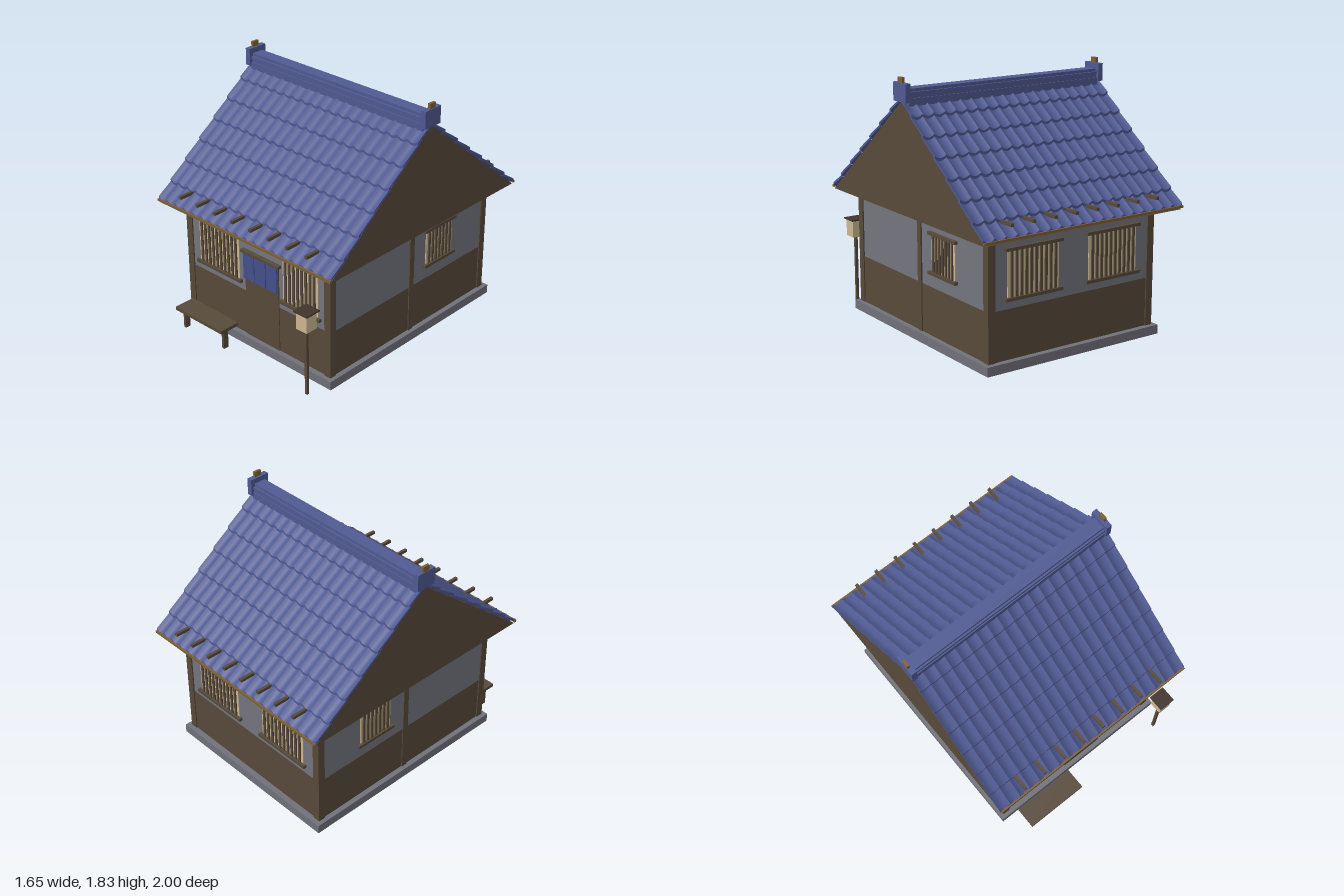
import * as THREE from 'three';
import { toCreasedNormals } from 'three/addons/utils/BufferGeometryUtils.js';

const mat = (name, color) => {
  const m = new THREE.MeshStandardMaterial({ color });
  m.name = name;
  return m;
};

const CZ = -0.04;          // z of the ridge line
const RIDGE_Y = 1.67, EAVE_Y = 0.9, RUN = 0.95, HALF_W = 0.82;
const slopeY = (dz) => RIDGE_Y - ((RIDGE_Y - EAVE_Y) * dz) / RUN;

// One course of wavy tiles from the upper to the lower distance off the ridge
function tileCourse(upper, lower) {
  const cols = 19, seg = 6, n = cols * seg, thick = 0.018;
  const pos = [];
  const quad = (a, b, c, d) => pos.push(...a, ...b, ...c, ...a, ...c, ...d);
  const section = (i) => {
    const x = -HALF_W + (2 * HALF_W * i) / n;
    const h = 0.018 * (1 - Math.sin((Math.PI * (i % seg)) / seg));
    const yL = slopeY(lower) + 0.025 + h, yU = slopeY(upper) + 0.004 + h;
    return {
      L: [x, yL, lower], U: [x, yU, upper],
      D: [x, yL - thick, lower], V: [x, yU - thick, upper],
    };
  };
  for (let i = 0; i < n; i++) {
    const a = section(i), b = section(i + 1);
    quad(a.L, b.L, b.U, a.U);
    quad(a.D, b.D, b.L, a.L);
    quad(a.D, a.V, b.V, b.D);
    if (i === 0) quad(a.L, a.U, a.V, a.D);
    if (i === n - 1) quad(b.D, b.V, b.U, b.L);
  }
  const g = new THREE.BufferGeometry();
  g.setAttribute('position', new THREE.Float32BufferAttribute(pos, 3));
  g.computeVertexNormals();
  return toCreasedNormals(g, 0.5);
}

export function createModel() {
  const model = new THREE.Group();
  model.name = 'house';
  const wood = mat('darkWood', 0x574a3a);
  const plaster = mat('greyPlaster', 0x74757f);
  const stone = mat('stone', 0x70717a);
  const tile = mat('blueTile', 0x505a92);
  const cloth = mat('blueCloth', 0x45508c);
  const paper = mat('paper', 0xcdb893);
  const gold = mat('paleTimber', 0x7d6035);
  const dark = mat('darkCap', 0x40352c);

  // Box given by its limits on each axis
  const box = (name, m, x0, x1, y0, y1, z0, z1, parent = model) => {
    const mesh = new THREE.Mesh(new THREE.BoxGeometry(x1 - x0, y1 - y0, z1 - z0), m);
    mesh.position.set((x0 + x1) / 2, (y0 + y1) / 2, (z0 + z1) / 2);
    mesh.name = name;
    parent.add(mesh);
    return mesh;
  };
  const group = (name, parent = model) => {
    const g = new THREE.Group();
    g.name = name;
    parent.add(g);
    return g;
  };

  // Foundation, wainscot and plaster
  box('foundation', stone, -0.72, 0.72, 0, 0.065, -0.89, 0.81);
  box('wainscot', wood, -0.682, 0.682, 0.065, 0.41, -0.847, 0.772);
  box('plasterWall', plaster, -0.68, 0.68, 0.41, 0.9, -0.845, 0.77);

  // Corner and side posts
  for (const s of [-1, 1]) {
    const x0 = s > 0 ? 0.635 : -0.69;
    box('cornerPost', wood, x0, x0 + 0.055, 0.065, 0.9, 0.725, 0.78);
    box('cornerPost', wood, x0, x0 + 0.055, 0.065, 0.9, -0.855, -0.8);
    box('sidePost', wood, x0, x0 + 0.055, 0.065, 0.9, -0.06, -0.016);
  }

  // Slatted window, built facing +z and then turned into place
  const slatWindow = (name, w, y0, y1, slats, x, z, turn) => {
    const g = group(name);
    const p = w / 2 - 0.025;
    box('windowPaper', paper, -p, p, y0 + 0.01, y1 - 0.01, 0, 0.006, g);
    for (let i = 0; i < slats; i++) {
      const sx = -p + (2 * p * (i + 0.75)) / (slats + 0.5);
      box('slat', wood, sx - 0.009, sx + 0.009, y0 + 0.01, y1 - 0.01, 0, 0.016, g);
    }
    for (const y of [y0, y1 - 0.022]) {
      box('windowRail', wood, -w / 2, w / 2, y, y + 0.022, 0, 0.025, g);
    }
    g.position.set(x, 0, z);
    g.rotation.y = turn;
  };
  slatWindow('frontWindow', 0.446, 0.465, 0.837, 10, -0.363, 0.77, 0);
  slatWindow('frontWindow', 0.37, 0.465, 0.837, 8, 0.415, 0.77, 0);
  for (const s of [-1, 1]) {
    slatWindow('backWindow', 0.46, 0.465, 0.82, 10, s * 0.33, -0.845, Math.PI);
    slatWindow('sideWindow', 0.33, 0.505, 0.803, 7, s * 0.68, -0.33, (s * Math.PI) / 2);
  }

  // Door with a split curtain hung from a rail
  box('door', wood, -0.107, 0.213, 0.065, 0.725, 0.76, 0.778);
  box('curtainRail', wood, -0.125, 0.235, 0.725, 0.745, 0.77, 0.802);
  for (let i = 0; i < 3; i++) {
    const x = -0.107 + i * 0.109;
    box('curtainPanel', cloth, x, x + 0.102, 0.525, 0.727, 0.787, 0.795);
  }

  // Gabled roof body
  const roof = group('roof');
  roof.position.z = CZ;
  const gable = new THREE.Shape([
    new THREE.Vector2(-RUN, EAVE_Y),
    new THREE.Vector2(RUN, EAVE_Y),
    new THREE.Vector2(0, RIDGE_Y),
  ]);
  const bodyGeo = new THREE.ExtrudeGeometry(gable, { depth: 1.62, bevelEnabled: false });
  bodyGeo.translate(0, 0, -0.81).rotateY(-Math.PI / 2);
  const body = new THREE.Mesh(bodyGeo, wood);
  body.name = 'gableBody';
  roof.add(body);

  // Tile courses, eave board and rafter ends on both slopes
  const edges = [0, 0.14, 0.277, 0.415, 0.555, 0.695, 0.835, 0.95];
  const courses = edges.slice(1).map((e, i) => tileCourse(Math.max(0, edges[i] - 0.02), e));
  for (const turn of [0, Math.PI]) {
    const side = group(turn ? 'backSlope' : 'frontSlope', roof);
    side.rotation.y = turn;
    for (const geo of courses) {
      const m = new THREE.Mesh(geo, tile);
      m.name = 'tileCourse';
      side.add(m);
    }
    box('eaveBoard', gold, -HALF_W, HALF_W, 0.912, 0.928, 0.945, 0.962, side);
    for (let i = 0; i < 8; i++) {
      const x = -0.597 + i * 0.1706;
      box('rafterEnd', wood, x - 0.011, x + 0.011, 0.995, 1.017, 0.8, 0.948, side);
    }
  }

  // Ridge layers with end blocks and pegs
  const ridge = group('ridge', roof);
  [0.062, 0.054, 0.06, 0.046].forEach((w, i) => {
    const y = 1.67 + i * 0.021;
    box('ridgeLayer', tile, -0.79, 0.79, i ? y : 1.64, y + 0.021, -w, w, ridge);
  });
  for (const s of [-1, 1]) {
    box('ridgeEnd', tile, s * 0.805 - 0.02, s * 0.805 + 0.02, 1.667, 1.792, -0.077, 0.077, ridge);
    box('ridgePeg', gold, s * 0.81 - 0.01, s * 0.81 + 0.01, 1.78, 1.83, -0.027, 0.027, ridge);
  }

  // Bench
  const bench = group('bench');
  box('benchSeat', wood, -0.6, -0.13, 0.15, 0.175, 0.84, 1, bench);
  for (const x of [-0.562, -0.165]) {
    box('benchLeg', wood, x - 0.01, x + 0.01, 0, 0.15, 0.915, 0.957, bench);
  }

  // Lantern on a pole
  const lamp = group('lantern');
  box('lanternPole', wood, 0.62, 0.64, 0, 0.515, 0.932, 0.952, lamp);
  box('lanternBox', paper, 0.583, 0.678, 0.51, 0.636, 0.895, 0.989, lamp);
  box('lanternCap', dark, 0.571, 0.691, 0.636, 0.646, 0.88, 1, lamp);
  return model;
}
